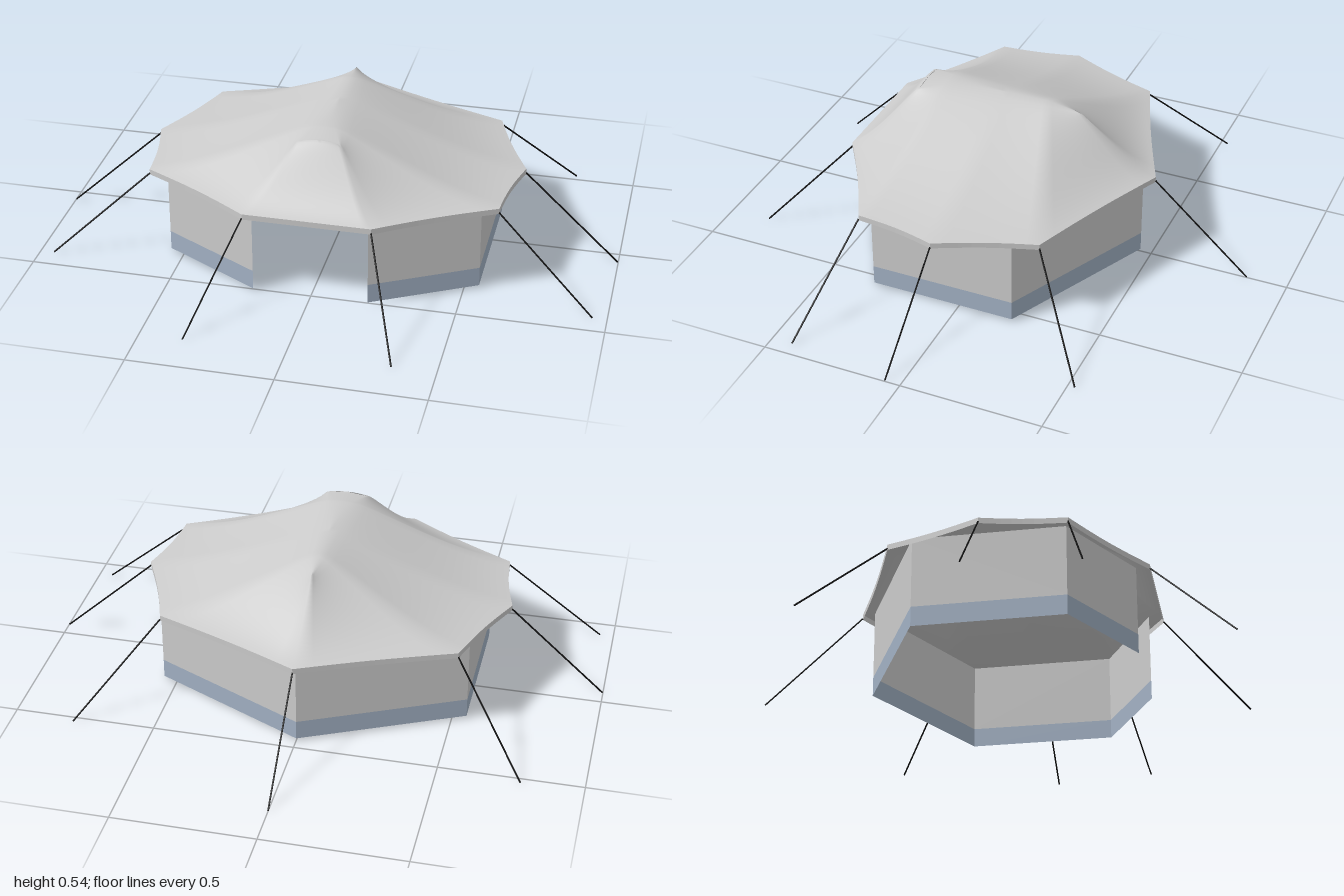
import * as THREE from 'three';
import { mergeVertices } from 'three/addons/utils/BufferGeometryUtils.js';

const WALL_TOP = 0.33, EAVE_TOP = 0.33, EAVE_BOTTOM = 0.31;

const material = (color) =>
  new THREE.MeshStandardMaterial({ color, side: THREE.DoubleSide });

// Surface through rows of equally many [x, y, z] points
function loft(rows, smooth) {
  const n = rows[0].length, index = [];
  for (let j = 0; j < rows.length - 1; j++) {
    for (let i = 0; i < n - 1; i++) {
      const a = j * n + i, b = a + n;
      index.push(a, b, b + 1, a, b + 1, a + 1);
    }
  }
  let geo = new THREE.BufferGeometry();
  geo.setAttribute('position', new THREE.Float32BufferAttribute(rows.flat(2), 3));
  geo.setIndex(index);
  geo = smooth ? mergeVertices(geo, 1e-4) : geo.toNonIndexed();
  geo.computeVertexNormals();
  return geo;
}

// Left half of the plan from front centre to back centre:
// eave x, z; width and z of the ridge point above it; ridge height
const stations = [
  [0, 0.56, 0, 0.36, 0.53],
  [0.22, 0.56, 0.07, 0.36, 0.53],
  [0.61, 0.335, 0.03, 0.27, 0.54],
  [0.66, 0.045, 0, 0.05, 0.54],
  [0.525, -0.29, 0, -0.1, 0.54],
  [0, -0.505, 0, -0.21, 0.525],
];

// Bell-shaped fall of the canvas from ridge (1) to eave (0)
function fall(t) {
  const u = (Math.sqrt(t * t + 0.0025) - 0.05) / (Math.sqrt(1.0025) - 0.05);
  return 0.1 * (1 + Math.cos(Math.PI * u)) + 0.4 * (1 - u) + 0.4 * (1 - u) ** 2;
}

// Stations subdivided with slightly scalloped eaves, then mirrored
function planLoop() {
  const half = [], steps = 8;
  for (let k = 0; k < stations.length - 1; k++) {
    for (let s = 0; s < steps; s++) {
      const t = s / steps;
      const p = stations[k].map((v, c) => THREE.MathUtils.lerp(v, stations[k + 1][c], t));
      const sag = k === 0 ? 0 : 0.014 * Math.sin(Math.PI * t);
      p[0] *= 1 - sag;
      p[1] *= 1 - sag;
      half.push(p);
    }
  }
  half.push(stations[stations.length - 1]);
  const mirrored = half.slice(0, -1).reverse().map(([x, z, rx, ...rest]) => [-x, z, -rx, ...rest]);
  return [...half, ...mirrored];
}

function roofRows(plan) {
  const rows = [plan.map(([, , , rz, ry]) => [0, ry, rz])];
  const steps = 20;
  for (let j = 0; j <= steps; j++) {
    const t = j / steps;
    rows.push(plan.map(([x, z, rx, rz, ry]) => {
      const top = ry - 1.8 * rx * rx;
      return [
        THREE.MathUtils.lerp(rx, x, t),
        EAVE_TOP + (top - EAVE_TOP) * fall(t),
        THREE.MathUtils.lerp(rz, z, t),
      ];
    }));
  }
  return rows;
}

// Thin cylinder between two points
function rope(from, to, mat) {
  const a = new THREE.Vector3(...from), b = new THREE.Vector3(...to);
  const dir = b.clone().sub(a);
  const mesh = new THREE.Mesh(new THREE.CylinderGeometry(0.003, 0.003, dir.length(), 6), mat);
  mesh.position.copy(a).add(b).multiplyScalar(0.5);
  mesh.quaternion.setFromUnitVectors(new THREE.Vector3(0, 1, 0), dir.normalize());
  mesh.name = 'guyRope';
  return mesh;
}

export function createModel() {
  const model = new THREE.Group();
  model.name = 'tent';
  const canvas = material(0xcccccc), blue = material(0xa2b1c4), black = material(0x111111);
  const add = (name, geo, mat) => {
    const mesh = new THREE.Mesh(geo, mat);
    mesh.name = name;
    model.add(mesh);
  };

  // Roof canvas and the short valance hanging from its eave
  const plan = planLoop();
  add('roof', loft(roofRows(plan), true), canvas);
  const eave = (y) => plan.map(([x, z]) => [x, y, z]);
  add('valance', loft([eave(EAVE_TOP), eave(EAVE_BOTTOM)], false), canvas);

  // Walls, open across the front, with a coloured band at the foot
  const side = [[0.2, 0.51], [0.55, 0.32], [0.55, -0.2]];
  const walls = [...side, [0, -0.46], ...side.slice().reverse().map(([x, z]) => [-x, z])];
  const wallRow = (y) => walls.map(([x, z]) => [x, y, z]);
  add('walls', loft([wallRow(WALL_TOP), wallRow(0.08)], false), canvas);
  add('wallBand', loft([wallRow(0.08), wallRow(0.01)], false), blue);

  // Guy ropes from each eave corner to the ground
  const anchors = [[0.35, 0.85], [0.95, 0.425], [0.998, 0.055], [0.785, -0.525], [0, -0.855]];
  const ropes = new THREE.Group();
  ropes.name = 'guyRopes';
  anchors.forEach(([ax, az], k) => {
    const [ex, ez] = stations[k + 1];
    for (const s of ax ? [1, -1] : [1]) {
      ropes.add(rope([s * ex, 0.315, ez], [s * ax, 0.003, az], black));
    }
  });
  model.add(ropes);
  return model;
}
